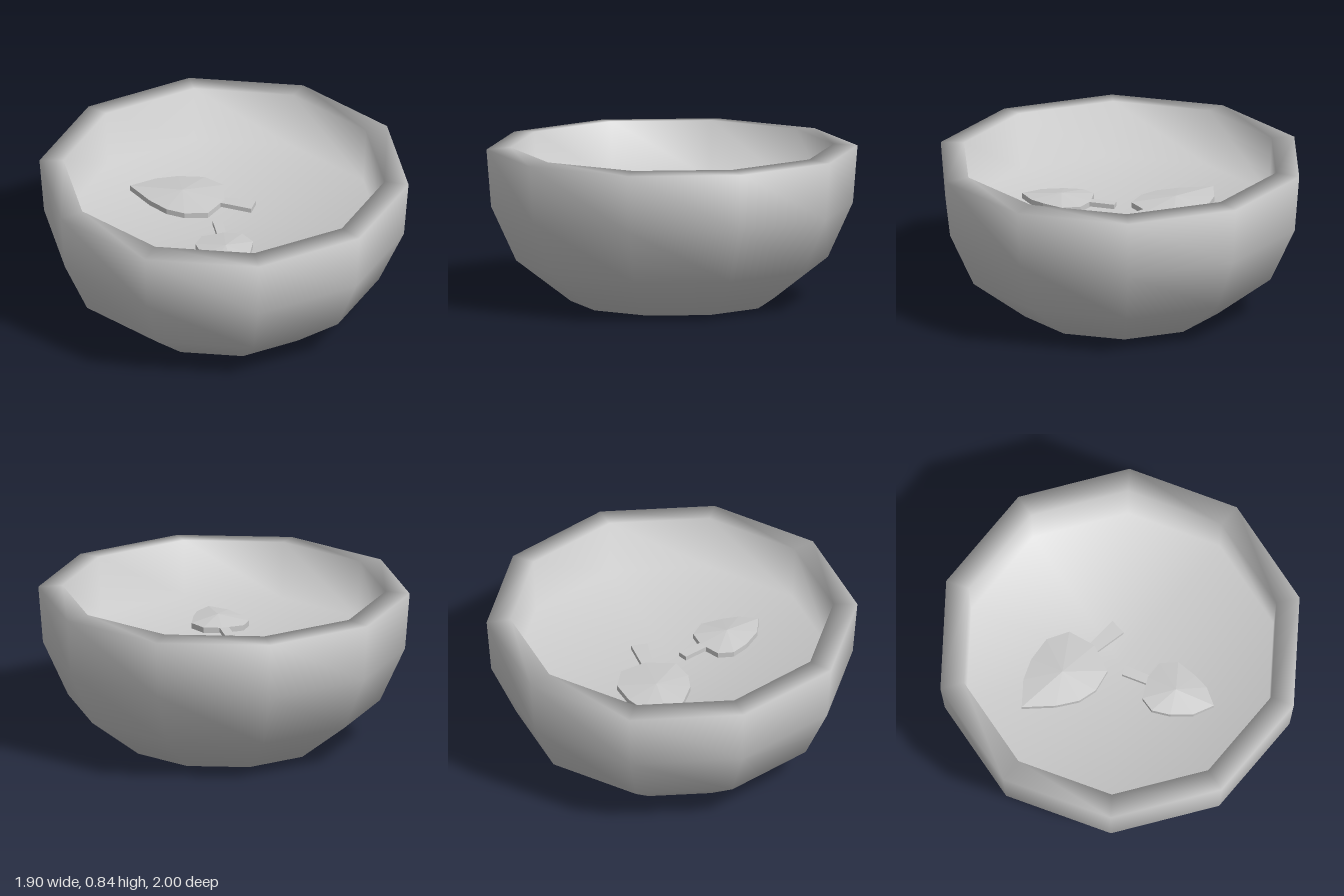
import * as THREE from 'three';

const material = new THREE.MeshStandardMaterial({ color: 0xcccccc });
const flatMaterial = new THREE.MeshStandardMaterial({ color: 0xcccccc, flatShading: true });

// Faceted slab from an [x, z] outline (clockwise seen from above) with a raised centre
function slab(name, outline, bottom, top, rise) {
  const n = outline.length;
  const cx = outline.reduce((s, p) => s + p[0], 0) / n;
  const cz = outline.reduce((s, p) => s + p[1], 0) / n;
  const pos = [];
  outline.forEach((a, i) => {
    const b = outline[(i + 1) % n];
    const aTop = [a[0], top, a[1]], bTop = [b[0], top, b[1]];
    const aLow = [a[0], bottom, a[1]], bLow = [b[0], bottom, b[1]];
    pos.push(...[cx, top + rise, cz], ...bTop, ...aTop);
    pos.push(...aTop, ...bTop, ...bLow, ...aTop, ...bLow, ...aLow);
    pos.push(...[cx, bottom, cz], ...aLow, ...bLow);
  });
  const geometry = new THREE.BufferGeometry();
  geometry.setAttribute('position', new THREE.Float32BufferAttribute(pos, 3));
  geometry.computeVertexNormals();
  const mesh = new THREE.Mesh(geometry, flatMaterial);
  mesh.name = name;
  return mesh;
}

function leaf(name, blade, stem) {
  const group = new THREE.Group();
  group.name = name;
  group.add(slab('leafBlade', blade, 0.53, 0.56, 0.025));
  group.add(slab('leafStem', stem, 0.535, 0.56, 0));
  return group;
}

export function createModel() {
  const model = new THREE.Group();

  // Ten-sided bowl: foot, outer wall, rim, inner wall and filled surface
  const profile = [
    [0, 0], [0.545, 0], [0.84, 0.225], [0.975, 0.52], [1, 0.83],
    [0.87, 0.84], [0.855, 0.53], [0, 0.53],
  ].map(([r, y]) => new THREE.Vector2(r, y));
  const bowl = new THREE.Mesh(new THREE.LatheGeometry(profile, 10), material);
  bowl.name = 'bowl';
  model.add(bowl);

  // Two leaves lying on the filling
  model.add(leaf('largeLeaf',
    [[-0.12, -0.58], [0.03, -0.53], [0.13, -0.46], [0.22, -0.35], [0.23, -0.22],
      [0.12, -0.11], [-0.04, -0.08], [-0.13, -0.17], [-0.165, -0.27], [-0.16, -0.4]],
    [[0.08, -0.11], [0.13, -0.14], [0.23, 0.02], [0.15, 0.06]]));
  model.add(leaf('smallLeaf',
    [[-0.38, 0.42], [-0.4, 0.3], [-0.37, 0.18], [-0.32, 0.09], [-0.24, 0.06],
      [-0.13, 0.12], [-0.07, 0.2], [-0.09, 0.3], [-0.19, 0.37], [-0.27, 0.41]],
    [[-0.08, -0.01], [-0.035, 0.02], [-0.13, 0.14], [-0.17, 0.11]]));

  return model;
}
